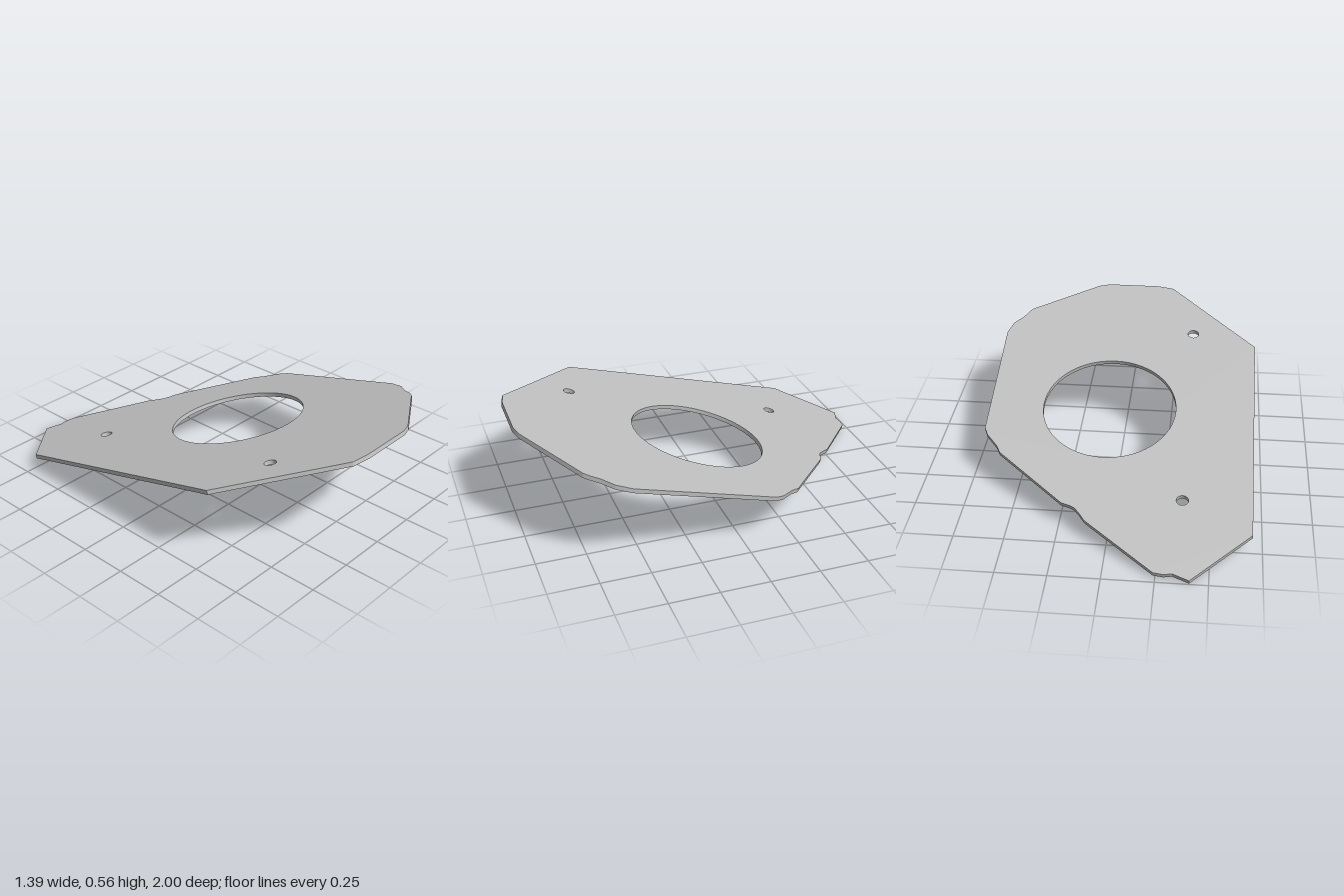
import * as THREE from 'three';
import { toCreasedNormals } from 'three/addons/utils/BufferGeometryUtils.js';

const TILT = THREE.MathUtils.degToRad(15);
const THICKNESS = 0.022;

// Plan outline as [x, z], seen from above
const OUTLINE = [
  [-0.7, 0.525], [-0.22, 0.977], [-0.13, 0.994], [0.155, 0.994], [0.215, 0.977],
  [0.575, 0.76], [0.595, 0.735], [0.62, 0.69], [0.67, 0.635], [0.695, 0.56],
  [0.695, -0.15], [0.675, -0.195], [0.615, -0.265], [0.59, -0.31],
  [0.235, -0.603], [0.19, -0.617], [0.165, -0.63], [0.14, -0.66], [0.11, -0.7],
  [-0.24, -0.968], [-0.29, -0.975], [-0.33, -0.968], [-0.41, -1.0], [-0.7, -0.73],
];

// Holes as [x, z, radius]
const HOLES = [[0.06, 0.032, 0.35], [-0.355, -0.548, 0.03], [-0.355, 0.607, 0.03]];

// Stretch plan depth onto the sloping plane of the plate
const onPlate = (x, z) => new THREE.Vector2(x, -z / Math.cos(TILT));

export function createModel() {
  const group = new THREE.Group();
  group.name = 'tiltedMountingPlate';
  const metal = new THREE.MeshStandardMaterial({ color: 0xc0c0c0 });
  metal.name = 'light grey metal';

  // Flat plate with one large opening and two bolt holes
  const shape = new THREE.Shape(OUTLINE.map(([x, z]) => onPlate(x, z)));
  for (const [x, z, r] of HOLES) {
    const c = onPlate(x, z);
    shape.holes.push(new THREE.Path().absarc(c.x, c.y, r, 0, Math.PI * 2, true));
  }
  const extruded = new THREE.ExtrudeGeometry(shape, {
    depth: THICKNESS, bevelEnabled: false, curveSegments: 48,
  });
  extruded.translate(0, 0, -THICKNESS / 2);

  // Lay flat, then raise the front edge
  extruded.rotateX(-Math.PI / 2 - TILT);
  const plate = new THREE.Mesh(toCreasedNormals(extruded, Math.PI / 9), metal);
  plate.name = 'plate';
  plate.position.set(0, 0.279, 0.003);
  group.add(plate);
  return group;
}
